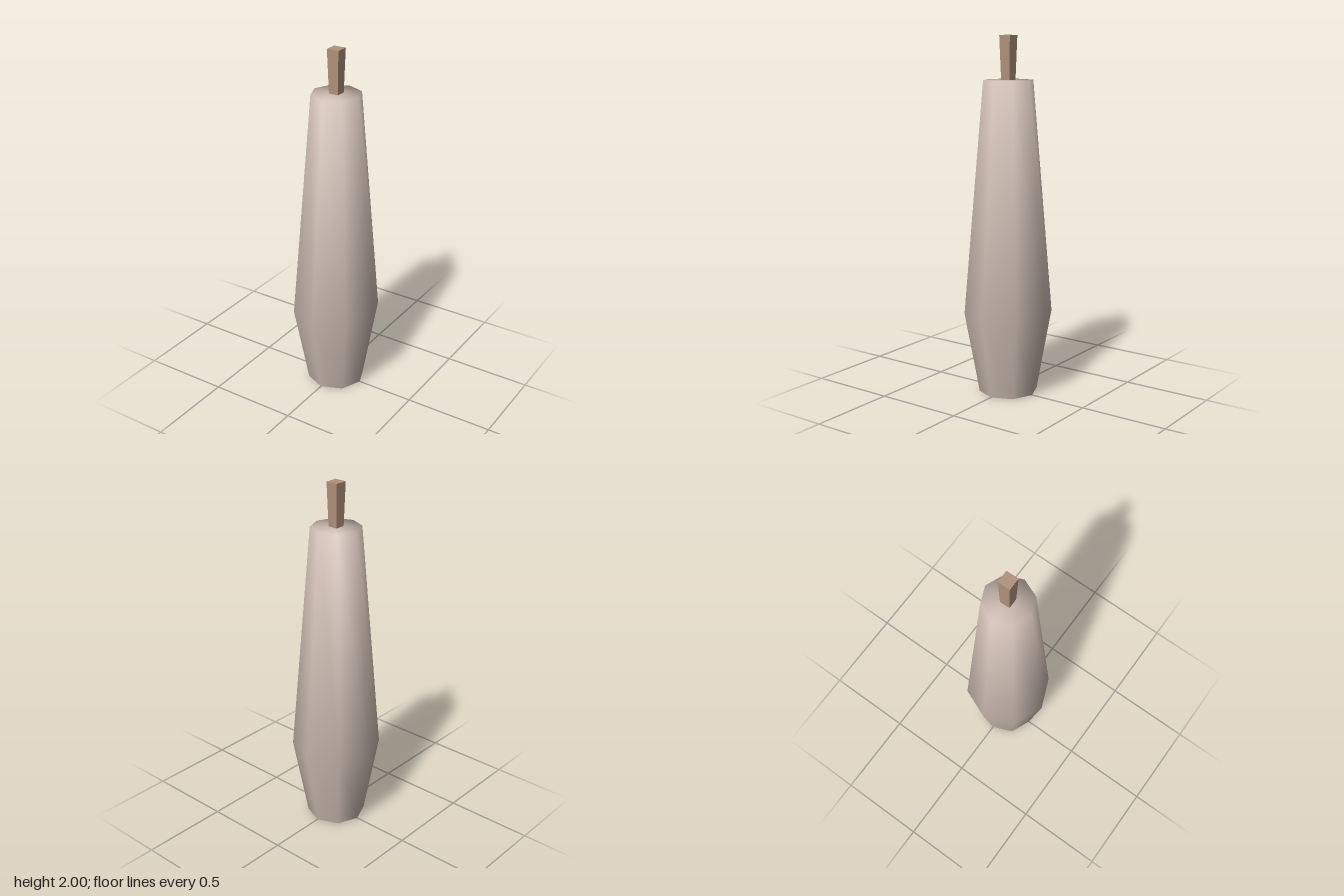
import * as THREE from 'three';

const SIDES = 8;

// Eight-sided body: [radius, height, upward tilt of the normal in degrees] per ring
const RINGS = [
  [0.165, 0, -10],
  [0.249, 0.46, -4],
  [0.138, 1.76, 42],
  [0, 1.76, 90],
];

function bodyGeometry() {
  const geometry = new THREE.LatheGeometry(
    RINGS.map(([r, y]) => new THREE.Vector2(r, y)), SIDES);
  // Normals blend softly around the waist and over the shoulder
  const normal = geometry.attributes.normal;
  for (let i = 0; i < normal.count; i++) {
    const around = Math.floor(i / RINGS.length) / SIDES * Math.PI * 2;
    const tilt = THREE.MathUtils.degToRad(RINGS[i % RINGS.length][2]);
    normal.setXYZ(i, Math.sin(around) * Math.cos(tilt), Math.sin(tilt),
      Math.cos(around) * Math.cos(tilt));
  }
  return geometry;
}

// Square stem, widening toward the top, with hard edges
function stemGeometry() {
  const geometry = new THREE.CylinderGeometry(
    0.035 * Math.SQRT2, 0.028 * Math.SQRT2, 0.24, 4)
    .rotateY(Math.PI / 4).translate(0, 1.88, 0).toNonIndexed();
  geometry.computeVertexNormals();
  return geometry;
}

export function createModel() {
  const bodyMaterial = new THREE.MeshStandardMaterial({ color: 0xc8b7ad });
  bodyMaterial.name = 'pale taupe';
  const stemMaterial = new THREE.MeshStandardMaterial({ color: 0xb1927c });
  stemMaterial.name = 'light brown';

  const group = new THREE.Group();
  group.name = 'taperedBodyWithStem';
  const add = (name, geometry, material) => {
    const mesh = new THREE.Mesh(geometry, material);
    mesh.name = name;
    group.add(mesh);
  };

  add('body', bodyGeometry(), bodyMaterial);
  add('base', new THREE.CircleGeometry(RINGS[0][0], SIDES).rotateX(Math.PI / 2), bodyMaterial);
  add('stem', stemGeometry(), stemMaterial);
  return group;
}
